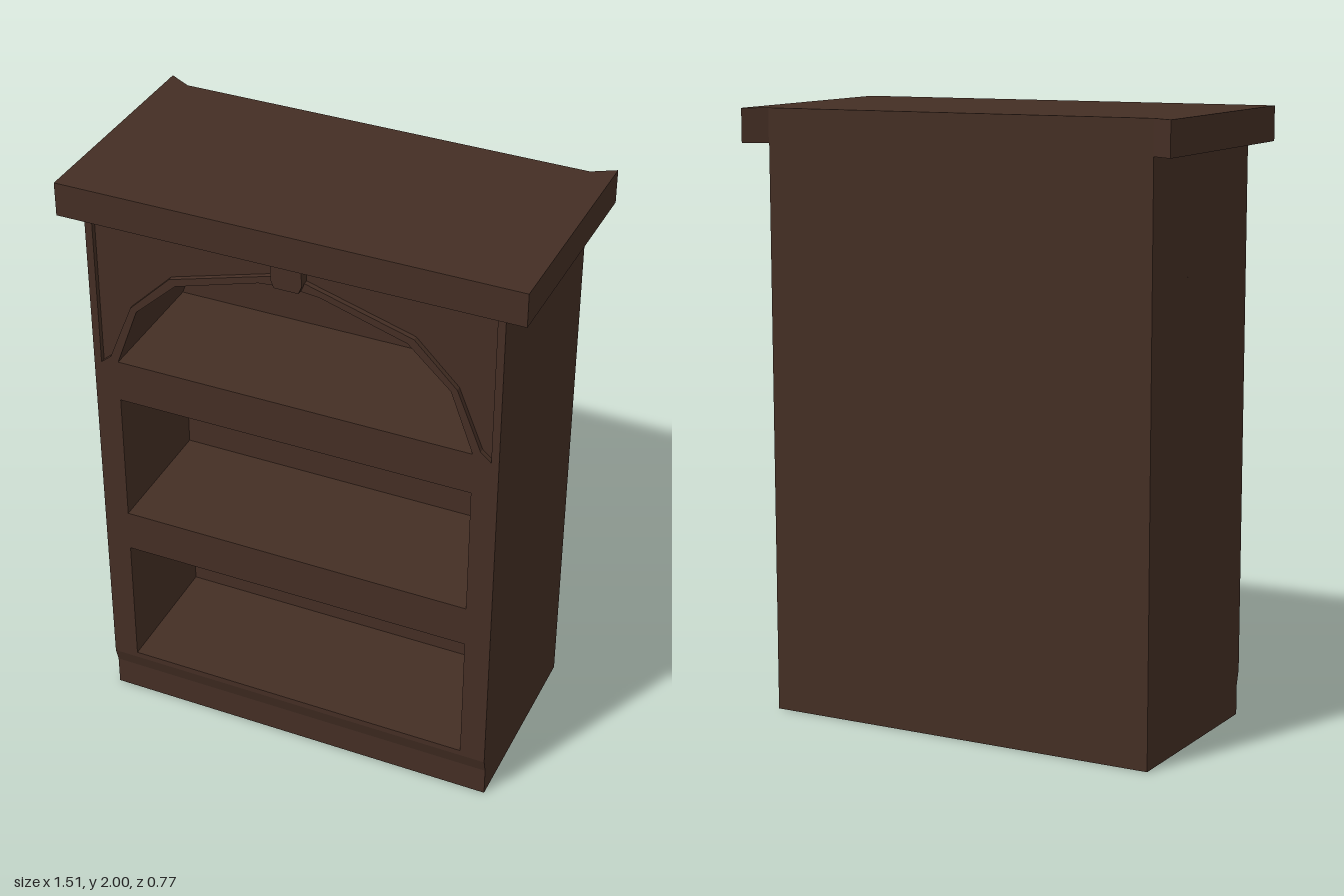
import * as THREE from 'three';

const wood = new THREE.MeshStandardMaterial({ color: 0x442e24 });
wood.name = 'dark wood';

const mirror = (pts) => pts.map(([x, y]) => [-x, y]);
const toShape = (pts) => new THREE.Shape(pts.map(([x, y]) => new THREE.Vector2(x, y)));
const rect = (x, y0, y1) => [[-x, y0], [x, y0], [x, y1], [-x, y1]];

// Flat outline with holes, extruded between two depths
function slab(name, outline, holes, z0, z1) {
  const shape = toShape(outline);
  shape.holes = holes.map(toShape);
  const geo = new THREE.ExtrudeGeometry(shape, { depth: z1 - z0, bevelEnabled: false });
  geo.translate(0, 0, z0);
  const mesh = new THREE.Mesh(geo, wood);
  mesh.name = name;
  return mesh;
}

export function createModel() {
  const group = new THREE.Group();
  group.name = 'bookcase';

  // Openings: two square bays and an arched one
  const archHalf = [[0.595, 1.375], [0.52, 1.58], [0.38, 1.71], [0.1, 1.795]];
  const arch = [...archHalf, [0, 1.805], ...mirror(archHalf).reverse()];
  const bays = [rect(0.595, 0.17, 0.63), rect(0.595, 0.775, 1.23), arch];

  // Sunken corner panels above the arch
  const spandrel = [[0.655, 1.87], [0.05, 1.865], [0.05, 1.832], [0.4, 1.73],
    [0.54, 1.59], [0.62, 1.39], [0.655, 1.36]];

  group.add(slab('backPanel', rect(0.68, 0, 1.885), [], -0.345, -0.095));
  group.add(slab('shelfFrame', rect(0.68, 0, 1.888), bays, -0.095, 0.333));
  group.add(slab('frontFacing', rect(0.68, 0.15, 1.889),
    [...bays, spandrel, mirror(spandrel)], 0.333, 0.35));

  // Kick board, sloping out to meet the facing
  const plinth = slab('plinth',
    [[-0.333, 0], [-0.333, 0.15], [-0.35, 0.15], [-0.336, 0.1], [-0.336, 0]], [], -0.68, 0.68);
  plinth.geometry.rotateY(Math.PI / 2);
  group.add(plinth);

  // Keystone at the crown of the arch
  group.add(slab('keystone', [[-0.04, 1.805], [0.04, 1.805], [0.05, 1.83], [0.05, 1.889],
    [-0.05, 1.889], [-0.05, 1.83]], [], 0.345, 0.37));

  // Cornice: mitred at the back corners, tilted slightly backwards
  const cornice = slab('cornice', [[-0.755, -0.385], [0.755, -0.385], [0.755, 0.39],
    [0.68, 0.347], [-0.68, 0.347], [-0.755, 0.39]], [], 1.888, 2);
  cornice.geometry.rotateX(-Math.PI / 2);
  const pos = cornice.geometry.attributes.position;
  for (let i = 0; i < pos.count; i++) {
    pos.setY(i, pos.getY(i) - (0.385 - pos.getZ(i)) * 0.013);
  }
  cornice.geometry.computeVertexNormals();
  group.add(cornice);

  return group;
}
